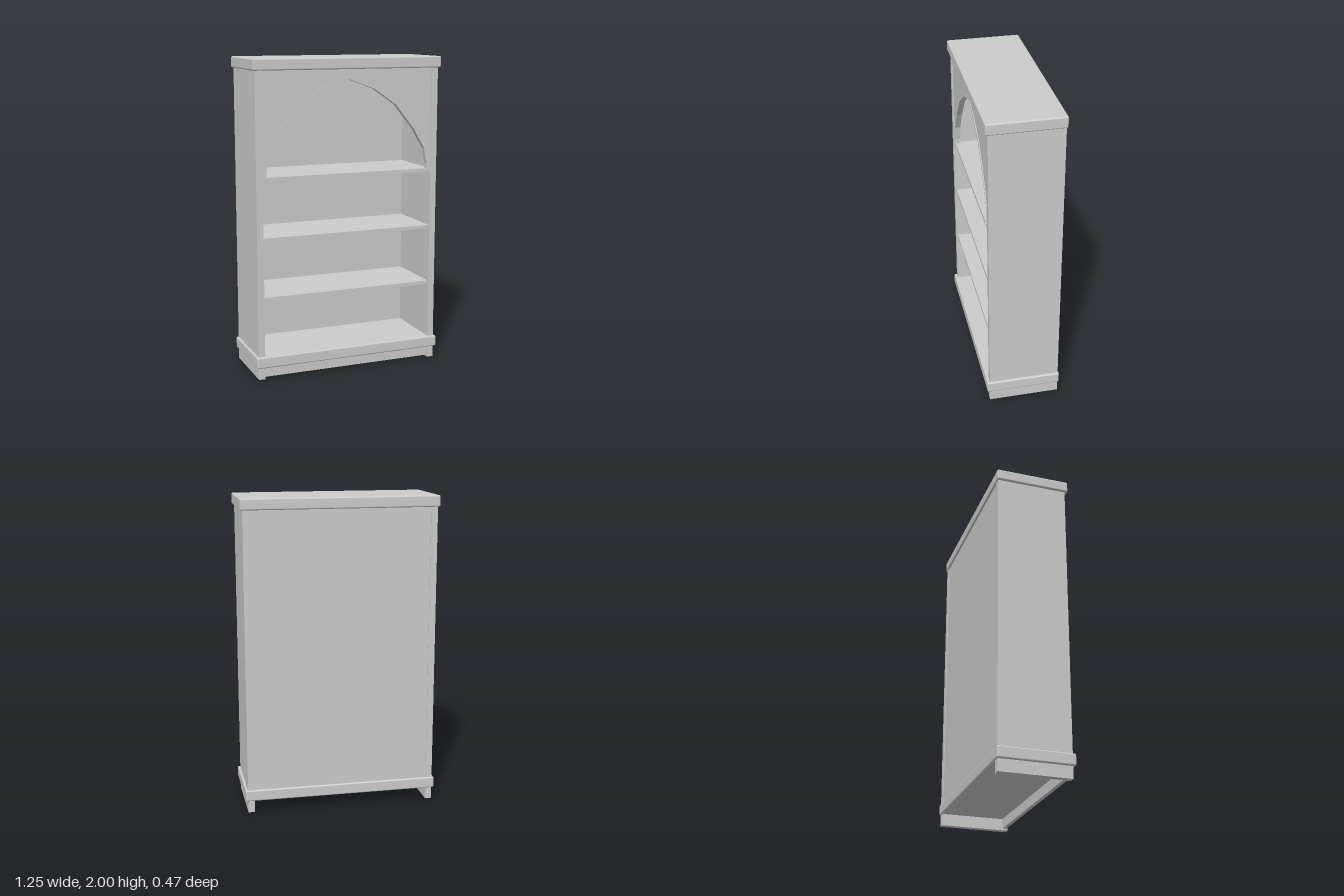
import * as THREE from 'three';
import { RoundedBoxGeometry } from 'three/addons/geometries/RoundedBoxGeometry.js';

const material = new THREE.MeshStandardMaterial({ color: 0xcccccc });

export function createModel() {
  const model = new THREE.Group();
  model.name = 'bookcase';

  const add = (name, geometry, x = 0, y = 0, z = 0) => {
    const mesh = new THREE.Mesh(geometry, material);
    mesh.name = name;
    mesh.position.set(x, y, z);
    model.add(mesh);
  };
  // Box given by its extents on each axis
  const box = (name, [x0, x1], [y0, y1], [z0, z1]) =>
    add(name, new THREE.BoxGeometry(x1 - x0, y1 - y0, z1 - z0),
      (x0 + x1) / 2, (y0 + y1) / 2, (z0 + z1) / 2);

  // Top and base slabs with softened edges
  const slab = (name, y0, y1) =>
    add(name, new RoundedBoxGeometry(1.25, y1 - y0, 0.475, 2, 0.01), 0, (y0 + y1) / 2, 0);
  slab('topSlab', 1.928, 2);
  slab('baseSlab', 0.076, 0.149);

  // Side panels run down to the floor as feet
  box('leftSide', [0.568, 0.61], [0, 1.94], [-0.23, 0.22]);
  box('rightSide', [-0.61, -0.568], [0, 1.94], [-0.23, 0.22]);

  // Back panel and front plinth
  box('backPanel', [-0.57, 0.57], [0.14, 1.94], [-0.225, -0.205]);
  box('plinth', [-0.57, 0.57], [0.012, 0.08], [0.185, 0.21]);

  // Shelves
  [0.505, 0.882, 1.259].forEach((y, i) =>
    box('shelf' + (i + 1), [-0.57, 0.57], [y, y + 0.022], [-0.21, 0.21]));

  // Pointed arch: half profiles from the springing to the apex
  const outer = [[0.568, 1.28], [0.566, 1.315], [0.535, 1.425], [0.455, 1.56],
    [0.325, 1.725], [0.178, 1.823], [0, 1.885]];
  const inner = [[0.543, 1.28], [0.543, 1.315], [0.522, 1.415], [0.445, 1.545],
    [0.318, 1.7], [0.172, 1.802], [0, 1.865]];
  const fullArch = (half) => [...half,
    ...half.slice(0, -1).reverse().map(([x, y]) => [-x, y])];
  const extrude = (points, depth) => new THREE.ExtrudeGeometry(
    new THREE.Shape(points.map(([x, y]) => new THREE.Vector2(x, y))),
    { depth, bevelEnabled: false });

  // Board above the arch
  add('archBoard', extrude([...fullArch(outer),
    [-0.57, 1.28], [-0.57, 1.94], [0.57, 1.94], [0.57, 1.28]], 0.03), 0, 0, 0.182);

  // Slim moulding lining the arch
  add('archTrim', extrude([...fullArch(outer), ...fullArch(inner).reverse()], 0.036), 0, 0, 0.18);

  return model;
}
